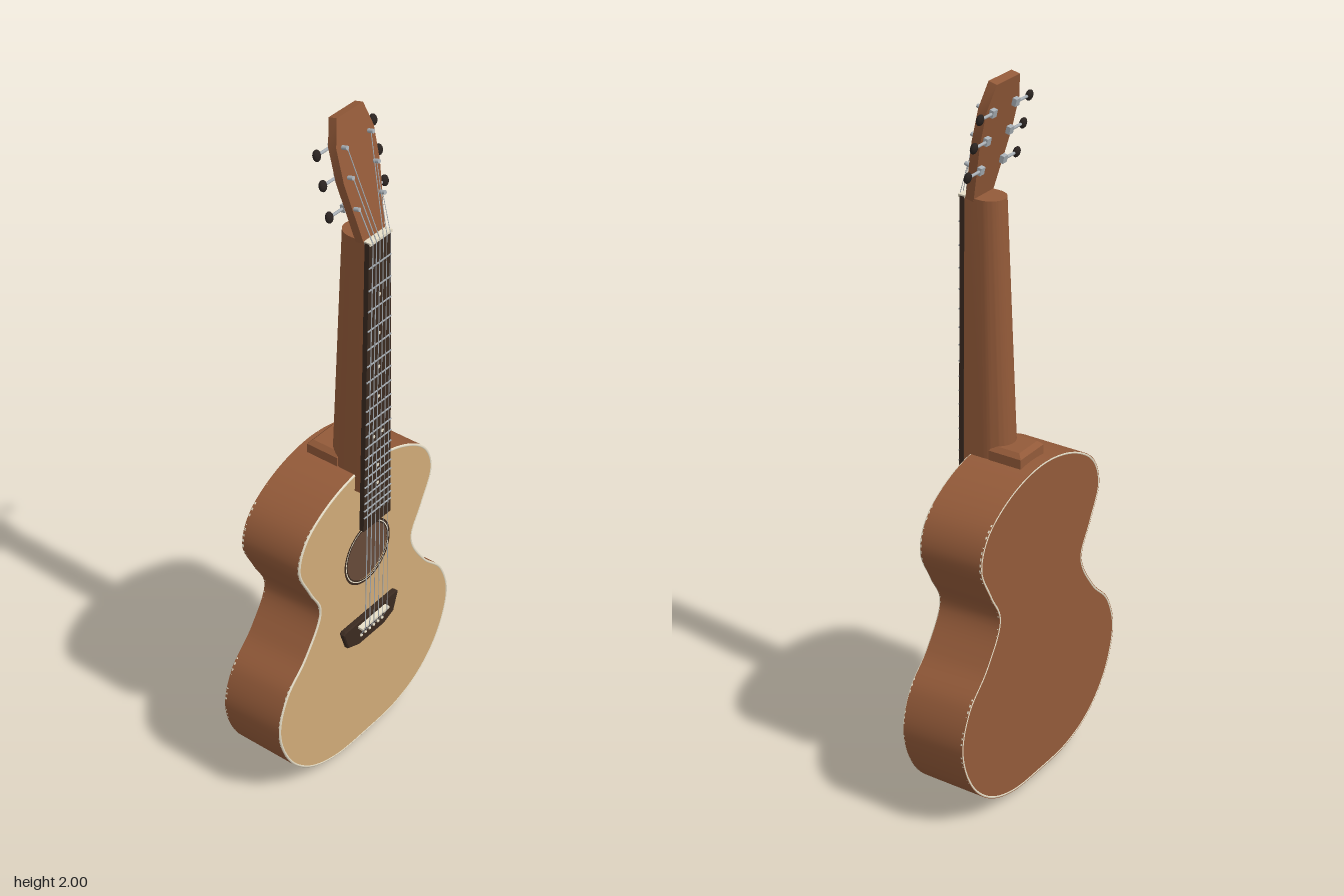
import * as THREE from 'three';
import { toCreasedNormals } from 'three/addons/utils/BufferGeometryUtils.js';

const paint = (name, color) => {
  const m = new THREE.MeshStandardMaterial({ color });
  m.name = name;
  return m;
};
const V = (x, y, z) => new THREE.Vector3(x, y, z);
const lerp = THREE.MathUtils.lerp;

export function createModel() {
  const model = new THREE.Group();
  model.name = 'acousticGuitar';
  const wood = paint('mahogany', 0x935a39);
  const spruce = paint('spruce', 0xcfaa77);
  const ebony = paint('ebony', 0x3a2a20);
  const ivory = paint('ivory', 0xe8dfc8);
  const steel = paint('steel', 0xa9b0b6);
  const black = paint('tunerBlack', 0x2a2320);
  const hollow = paint('soundHoleBrown', 0x664a38);

  const add = (name, geo, mat, x = 0, y = 0, z = 0, parent = model) => {
    const mesh = new THREE.Mesh(geo, mat);
    mesh.name = name;
    mesh.position.set(x, y, z);
    parent.add(mesh);
    return mesh;
  };
  const box = (w, h, d) => new THREE.BoxGeometry(w, h, d);
  const rod = (name, a, b, r, mat, parent = model, sides = 6) => {
    const dir = b.clone().sub(a);
    const mesh = add(name, new THREE.CylinderGeometry(r, r, dir.length(), sides), mat, 0, 0, 0, parent);
    mesh.position.copy(a).add(b).multiplyScalar(0.5);
    mesh.quaternion.setFromUnitVectors(V(0, 1, 0), dir.normalize());
    return mesh;
  };
  const extrude = (shape, depth, bevel = 0) => toCreasedNormals(new THREE.ExtrudeGeometry(shape, {
    depth: depth - 2 * bevel, bevelEnabled: bevel > 0, bevelSize: bevel, bevelOffset: -bevel,
    bevelThickness: bevel, bevelSegments: 1, curveSegments: 40,
  }).translate(0, 0, bevel), 0.5);
  // Symmetric polygon from its right-hand half, listed bottom to top
  const mirrored = (half) => new THREE.Shape([
    ...half.map(([x, y]) => new THREE.Vector2(x, y)),
    ...half.slice().reverse().map(([x, y]) => new THREE.Vector2(-x, y)),
  ]);

  // Body outline
  const half = [[0.14, 0.028], [0.25, 0.072], [0.335, 0.16], [0.376, 0.29], [0.342, 0.4], [0.262, 0.485],
    [0.2, 0.6], [0.242, 0.69], [0.285, 0.79], [0.255, 0.875], [0.15, 0.945]];
  const outlineCurve = new THREE.CatmullRomCurve3([
    V(0, 0.02, 0), ...half.map(([x, y]) => V(x, y, 0)),
    V(0, 0.975, 0), ...half.slice().reverse().map(([x, y]) => V(-x, y, 0)),
  ], true, 'centripetal');
  const outline = (inset) => Array.from({ length: 160 }, (_, i) => {
    const p = outlineCurve.getPointAt(i / 160), t = outlineCurve.getTangentAt(i / 160);
    return new THREE.Vector2(p.x - t.y * inset, p.y + t.x * inset);
  });
  const HOLE_Y = 0.68;
  const circle = (r) => new THREE.Path().absarc(0, HOLE_Y, r, 0, Math.PI * 2, true);

  add('body', extrude(new THREE.Shape(outline(0)), 0.187), wood, 0, 0, -0.115);
  const top = new THREE.Shape(outline(0.005));
  top.holes.push(circle(0.088));
  add('soundboard', extrude(top, 0.003), spruce, 0, 0, 0.072);

  // Binding strips on front and back edges
  const edge = new THREE.CatmullRomCurve3(outline(0.004).map((p) => V(p.x, p.y, 0)), true);
  for (const [name, z] of [['frontBinding', 0.072], ['backBinding', -0.112]])
    add(name, new THREE.TubeGeometry(edge, 200, 0.0045, 6, true), ivory, 0, 0, z);

  // Sound hole and rosette
  add('soundHole', new THREE.CircleGeometry(0.09, 48), hollow, 0, HOLE_Y, 0.0725);
  add('rosetteOuter', new THREE.RingGeometry(0.092, 0.098, 48), ebony, 0, HOLE_Y, 0.0762);
  add('rosetteMiddle', new THREE.RingGeometry(0.089, 0.092, 48), ivory, 0, HOLE_Y, 0.0762);
  add('rosetteInner', new THREE.RingGeometry(0.085, 0.089, 48), ebony, 0, HOLE_Y, 0.0762);

  add('endPin', new THREE.CylinderGeometry(0.008, 0.006, 0.022, 12), steel, 0, 0.011, -0.02);

  // Neck: a rounded section tapering towards the nut
  const section = new THREE.Shape();
  section.moveTo(-1, 0);
  section.lineTo(1, 0);
  section.lineTo(1, 0.5);
  section.absellipse(0, 0.5, 1, 0.5, 0, Math.PI, false);
  let neck = new THREE.ExtrudeGeometry(section, { depth: 1, bevelEnabled: false, curveSegments: 20 });
  neck.rotateX(-Math.PI / 2);
  const pos = neck.attributes.position;
  for (let i = 0; i < pos.count; i++) {
    const t = pos.getY(i);
    pos.setXYZ(i, pos.getX(i) * lerp(0.054, 0.042, t), 0.92 + 0.76 * t, 0.095 + pos.getZ(i) * lerp(0.125, 0.094, t));
  }
  add('neck', toCreasedNormals(neck, 0.6), wood);
  const heel = mirrored([[0.054, 0], [0.054, 0.1]]);
  add('heel', extrude(heel, 0.085, 0.012).rotateX(-Math.PI / 2), wood, 0, 0.925, 0.017);

  // Fingerboard, frets and position dots
  const NUT = 1.68, SADDLE = 0.46, SCALE = NUT - SADDLE, BOARD_Z = 0.108;
  const boardHalf = (y) => lerp(0.058, 0.043, (y - 0.8) / 0.88);
  add('fingerboard', extrude(mirrored([[0.058, 0.8], [0.043, NUT]]), 0.014), ebony, 0, 0, 0.094);
  const fretY = (n) => SADDLE + SCALE * 2 ** (-n / 12);
  for (let n = 1; n <= 20; n++)
    add('fret', box(2 * boardHalf(fretY(n)), 0.004, 0.003), steel, 0, fretY(n), BOARD_Z + 0.0005);
  const dot = new THREE.CylinderGeometry(0.005, 0.005, 0.002, 12).rotateX(Math.PI / 2);
  for (const n of [3, 5, 7, 9, 12, 15, 17])
    for (const x of n === 12 ? [-0.018, 0.018] : [0])
      add('positionDot', dot, ivory, x, (fretY(n) + fretY(n - 1)) / 2, BOARD_Z);
  add('nut', box(0.086, 0.008, 0.02), ivory, 0, NUT, 0.102);

  // Bridge, saddle and pins
  add('bridge', extrude(mirrored([[0.055, 0.395], [0.1, 0.412], [0.12, 0.47], [0.112, 0.477]]), 0.017, 0.003),
    ebony, 0, 0, 0.075);
  add('saddle', box(0.12, 0.007, 0.018), ivory, 0, SADDLE, 0.098);

  // Headstock leans back; built in its own frame with the front face at z = 0
  const head = new THREE.Group();
  head.name = 'headstock';
  head.position.set(0, NUT - 0.004, 0.091);
  head.rotation.x = -0.232;
  model.add(head);
  add('headPlate', extrude(mirrored([[0.042, 0], [0.07, 0.17], [0.072, 0.262], [0.05, 0.33]]), 0.025),
    wood, 0, 0, -0.025, head);
  const postY = [0.096, 0.178, 0.256];
  for (const s of [-1, 1])
    for (const y of postY) {
      rod('tunerPost', V(s * 0.05, y, -0.03), V(s * 0.05, y, 0.016), 0.0055, steel, head, 12);
      add('tunerGear', box(0.018, 0.02, 0.012), steel, s * 0.05, y, -0.031, head);
      rod('tunerShaft', V(s * 0.05, y, -0.032), V(s * 0.102, y, -0.032), 0.004, steel, head, 10);
      const button = add('tunerButton', new THREE.SphereGeometry(1, 16, 12), black, s * 0.108, y, -0.032, head);
      button.scale.set(0.012, 0.015, 0.009);
    }

  // Strings run pin, saddle, nut, post
  head.updateMatrix();
  for (let i = 0; i < 6; i++) {
    const f = (i - 2.5) / 2.5, s = Math.sign(f);
    const r = lerp(0.0016, 0.0009, i / 5);
    const pin = V(f * 0.046, 0.425, 0.092);
    const saddle = V(f * 0.048, SADDLE, 0.108);
    const nut = V(f * 0.034, NUT, 0.113);
    const post = V(s * 0.046, postY[i < 3 ? i : 5 - i], 0.011).applyMatrix4(head.matrix);
    rod('stringTail', pin, saddle, r, steel);
    rod('string', saddle, nut, r, steel);
    rod('stringHead', nut, post, r, steel);
    add('bridgePin', new THREE.SphereGeometry(0.005, 10, 8), ivory, pin.x, pin.y, pin.z);
  }
  return model;
}
